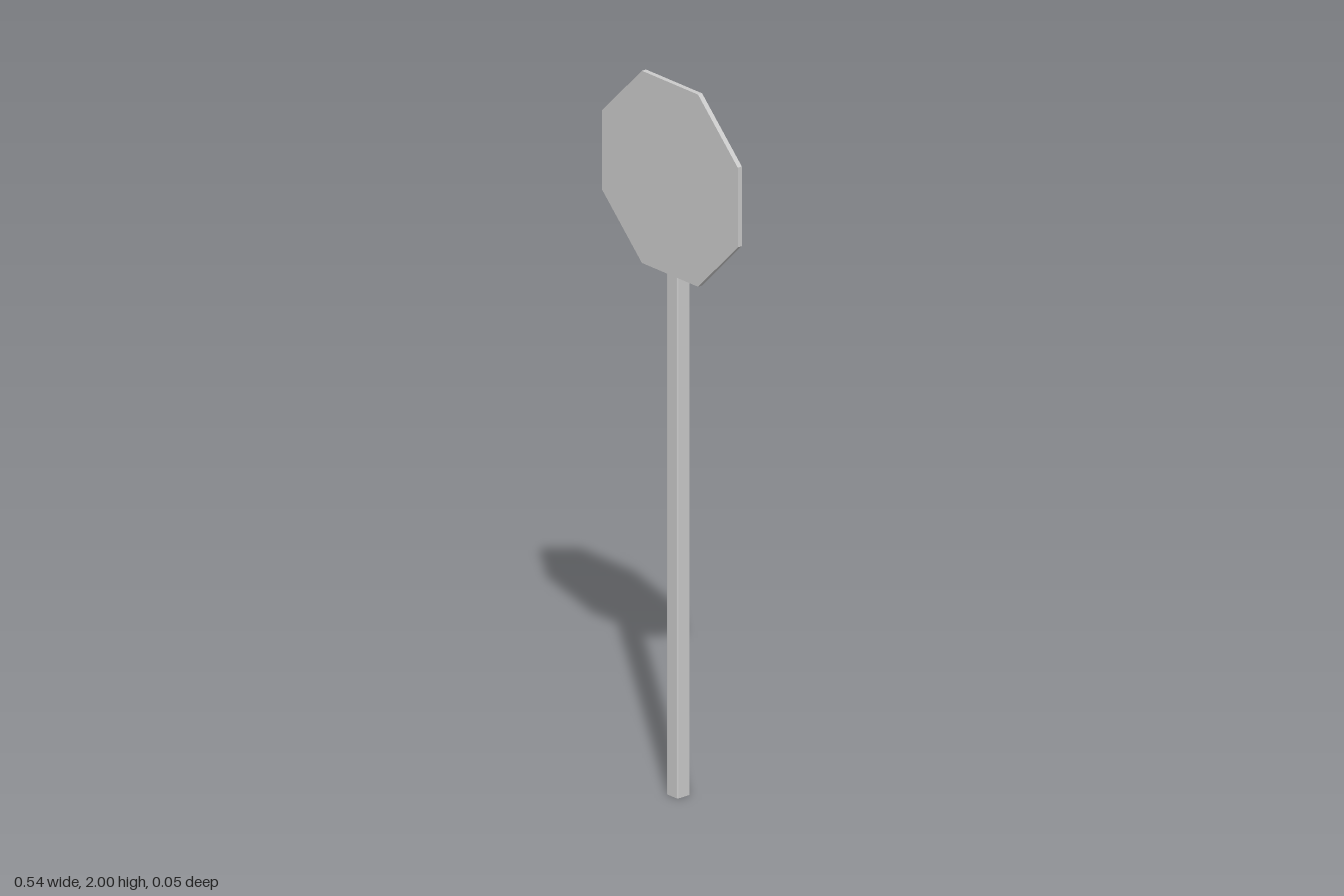
import * as THREE from 'three';

const material = new THREE.MeshStandardMaterial({ color: 0xcccccc });

// Square outline with small rounded corners
function roundedSquare(half, r) {
  const s = new THREE.Shape();
  const c = half - r;
  s.absarc(c, c, r, 0, Math.PI / 2);
  s.absarc(-c, c, r, Math.PI / 2, Math.PI);
  s.absarc(-c, -c, r, Math.PI, Math.PI * 1.5);
  s.absarc(c, -c, r, Math.PI * 1.5, Math.PI * 2);
  s.closePath();
  return s;
}

// Regular octagon resting on a flat side
function octagon(apothem) {
  const radius = apothem / Math.cos(Math.PI / 8);
  const points = [];
  for (let i = 0; i < 8; i++) {
    const a = (i + 0.5) * Math.PI / 4;
    points.push(new THREE.Vector2(radius * Math.cos(a), radius * Math.sin(a)));
  }
  return new THREE.Shape(points);
}

export function createModel() {
  const group = new THREE.Group();
  group.name = 'roadSign';

  // Square post, set slightly into the back of the plate
  const postGeometry = new THREE.ExtrudeGeometry(roundedSquare(0.022, 0.004), {
    depth: 1.85, bevelEnabled: false, curveSegments: 3,
  });
  postGeometry.rotateX(-Math.PI / 2);
  const post = new THREE.Mesh(postGeometry, material);
  post.name = 'post';
  post.position.z = -0.004;
  group.add(post);

  // Thin octagonal plate
  const apothem = 0.269;
  const plateGeometry = new THREE.ExtrudeGeometry(octagon(apothem), {
    depth: 0.014, bevelEnabled: false,
  });
  const plate = new THREE.Mesh(plateGeometry, material);
  plate.name = 'signPlate';
  plate.position.set(0, 2 - apothem, 0.011);
  group.add(plate);

  return group;
}
